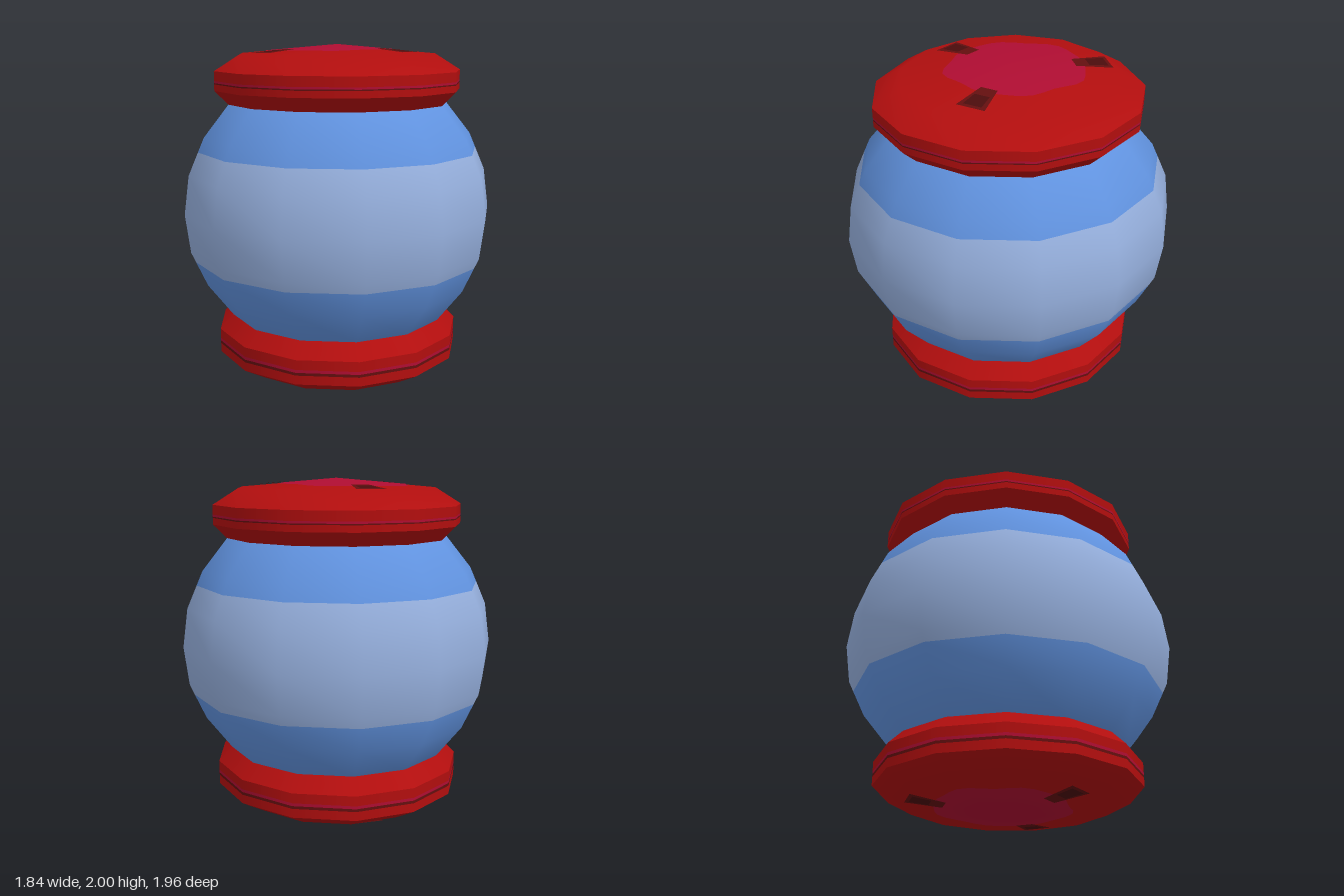
import * as THREE from 'three';

const SIDES = 13;      // low-poly segments around
const PHASE = 0.084;   // turn of the polygon
const DEPTH = 1.06;    // slightly deeper than wide

const mat = (name, color, side = THREE.FrontSide) => {
  const m = new THREE.MeshStandardMaterial({ color, side });
  m.name = name;
  return m;
};

export function createModel() {
  const blue = mat('blue', 0x6193e0);
  const paleBlue = mat('paleBlue', 0x96b0de);
  const red = mat('red', 0xb20e0e);
  const crimson = mat('crimson', 0xb00d32, THREE.DoubleSide);
  const darkRed = mat('darkRed', 0x640f0f, THREE.DoubleSide);
  const deepRed = mat('deepRed', 0x4c0c0c, THREE.DoubleSide);

  const model = new THREE.Group();
  model.name = 'jar';

  // Turned part from [radius, height] points listed upwards
  function turned(parent, name, profile, material) {
    const pts = profile.map(([r, y]) => new THREE.Vector2(r, y));
    const geo = new THREE.LatheGeometry(pts, SIDES, PHASE);
    geo.scale(1, 1, DEPTH);
    const mesh = new THREE.Mesh(geo, material);
    mesh.name = name;
    parent.add(mesh);
    return mesh;
  }

  // Round body, split at the colour borders, shaded as one ball
  const body = new THREE.Group();
  body.name = 'body';
  model.add(body);
  const bands = [
    ['lowerBody', [[0.655, 0.385], [0.805, 0.58], [0.873, 0.73]], blue],
    ['middleBand', [[0.873, 0.73], [0.9, 0.79], [0.93, 1.02], [0.9, 1.25], [0.842, 1.385]], paleBlue],
    ['upperBody', [[0.842, 1.385], [0.805, 1.47], [0.655, 1.66]], blue],
  ];
  for (const [name, profile, material] of bands) {
    const { position, normal } = turned(body, name, profile, material).geometry.attributes;
    const n = new THREE.Vector3();
    for (let i = 0; i < position.count; i++) {
      n.fromBufferAttribute(position, i);
      n.y -= 1.02;
      n.normalize();
      normal.setXYZ(i, n.x, n.y, n.z);
    }
  }

  // Thin painted patch lying on a shallow cone; the first point is the fan centre
  function patch(parent, name, points, height, dir, lift, material) {
    const pos = [], index = [];
    for (const [x, z] of points) pos.push(x, height(Math.hypot(x, z / DEPTH)) + dir * lift, z);
    for (let i = 1; i < points.length - 1; i++) {
      index.push(0, ...(dir > 0 ? [i, i + 1] : [i + 1, i]));
    }
    const geo = new THREE.BufferGeometry();
    geo.setAttribute('position', new THREE.Float32BufferAttribute(pos, 3));
    geo.setIndex(index);
    geo.computeVertexNormals();
    const mesh = new THREE.Mesh(geo, material);
    mesh.name = name;
    parent.add(mesh);
  }

  // Crimson blot and three dark notches on an end face
  function endMarks(parent, height, dir) {
    const blot = [[0, 0]];
    const steps = 36;
    for (let i = 0; i <= steps; i++) {
      const a = -i / steps * Math.PI * 2;
      const r = 0.375 + 0.012 * Math.sin(5 * a) + 0.01 * Math.cos(8 * a);
      blot.push([-0.04 + r * Math.cos(a), -0.05 + r * DEPTH * Math.sin(a)]);
    }
    patch(parent, 'centreBlot', blot, height, dir, 0.003, crimson);

    for (const deg of [-90, 40, 143]) {
      const a = THREE.MathUtils.degToRad(deg), c = Math.cos(a), s = Math.sin(a);
      const at = (r, w) => [-0.02 + r * c - w * s, -0.05 + r * s + w * c];
      const shape = (r0, w0, r1, w1) => [at(r0, -w0), at(r0, w0), at(r1, w1), at(r1, -w1)];
      patch(parent, 'notch', shape(0.33, 0.05, 0.54, 0.085), height, dir, 0.006, darkRed);
      patch(parent, 'notchCore', shape(0.41, 0.045, 0.52, 0.055), height, dir, 0.008, deepRed);
    }
  }

  // Top cap
  const cap = new THREE.Group();
  cap.name = 'topCap';
  model.add(cap);
  turned(cap, 'capLowerBevel', [[0.655, 1.655], [0.737, 1.737]], red);
  turned(cap, 'capRim', [[0.737, 1.737], [0.737, 1.775]], red);
  turned(cap, 'capDarkLine', [[0.737, 1.775], [0.737, 1.782]], darkRed);
  turned(cap, 'capCrimsonLine', [[0.737, 1.782], [0.737, 1.794]], crimson);
  turned(cap, 'capUpperRim', [[0.737, 1.794], [0.737, 1.85]], red);
  turned(cap, 'capTop', [[0.737, 1.85], [0.585, 1.945], [0, 1.997]], red);
  endMarks(cap, r => 1.997 - 0.052 * r / 0.585, 1);

  // Bottom base
  const base = new THREE.Group();
  base.name = 'base';
  model.add(base);
  turned(base, 'baseUnderside', [[0, 0.003], [0.585, 0.073], [0.737, 0.16]], red);
  turned(base, 'baseRim', [[0.737, 0.16], [0.737, 0.212]], red);
  turned(base, 'baseDarkLine', [[0.737, 0.212], [0.737, 0.228]], darkRed);
  turned(base, 'baseCrimsonLine', [[0.737, 0.228], [0.737, 0.245]], crimson);
  turned(base, 'baseUpperRim', [[0.737, 0.245], [0.737, 0.302]], red);
  turned(base, 'baseUpperBevel', [[0.737, 0.302], [0.655, 0.387]], red);
  endMarks(base, r => 0.003 + 0.07 * r / 0.585, -1);

  return model;
}
